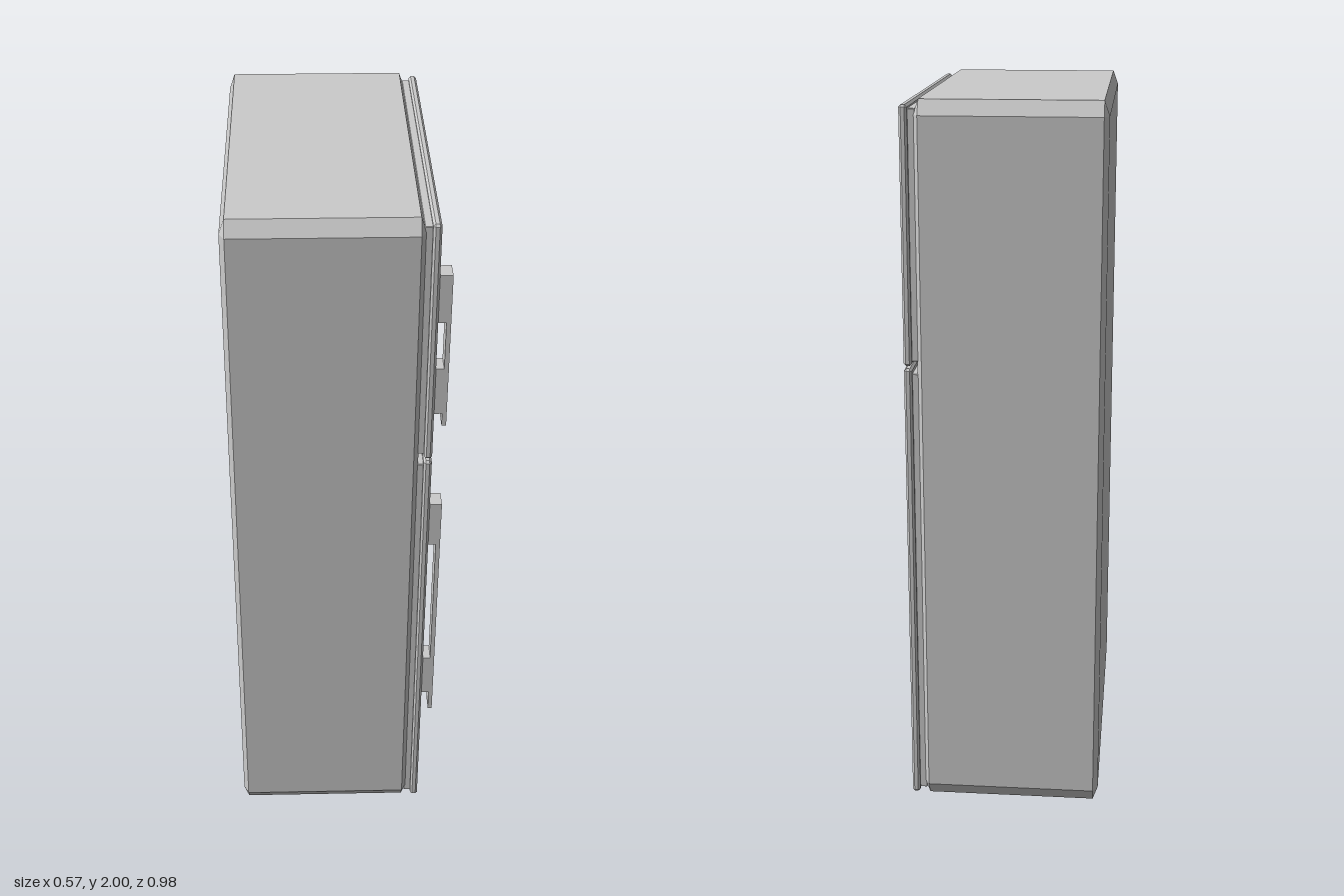
import * as THREE from 'three';
import { ConvexGeometry } from 'three/addons/geometries/ConvexGeometry.js';

const material = new THREE.MeshStandardMaterial({ color: 0xcccccc, flatShading: true });

// Box between two corners, with its edges cut back by a separate amount on each axis
function chamferedBox(name, min, max, cut) {
  const points = [];
  for (let corner = 0; corner < 8; corner++) {
    for (let face = 0; face < 3; face++) {
      const p = [0, 1, 2].map((axis) => {
        const inset = axis === face ? 0 : cut[axis];
        return corner & (1 << axis) ? max[axis] - inset : min[axis] + inset;
      });
      points.push(new THREE.Vector3(...p));
    }
  }
  const mesh = new THREE.Mesh(new ConvexGeometry(points), material);
  mesh.name = name;
  return mesh;
}

// Flat grip bar on two mounting pads, drawn from the side and extruded across z
function handle(name, bottom, top, padHeights) {
  const inner = 0.25, grip = 0.273, outer = 0.285;
  const [lowBottom, lowTop, highBottom] = padHeights;
  const shape = new THREE.Shape([
    [grip, bottom], [outer, bottom], [outer, top], [inner, top],
    [inner, highBottom], [grip, highBottom], [grip, lowTop],
    [inner, lowTop], [inner, lowBottom], [grip, lowBottom],
  ].map(([x, y]) => new THREE.Vector2(x, y)));
  const geometry = new THREE.ExtrudeGeometry(shape, { depth: 0.053, bevelEnabled: false });
  const mesh = new THREE.Mesh(geometry, material);
  mesh.name = name;
  mesh.position.z = 0.419;
  return mesh;
}

// Door panel with a slightly smaller gasket between it and the cabinet
function door(name, bottom, top, gasketBottom, gasketTop) {
  const group = new THREE.Group();
  group.name = name;
  group.add(
    chamferedBox('gasket', [0.21, gasketBottom, -0.467], [0.236, gasketTop, 0.467], [0.002, 0.002, 0.002]),
    chamferedBox('doorPanel', [0.23, bottom, -0.479], [0.252, top, 0.479], [0.006, 0.006, 0.006]),
  );
  return group;
}

export function createModel() {
  const model = new THREE.Group();
  model.name = 'refrigerator';

  // Cabinet
  model.add(chamferedBox('cabinet', [-0.288, 0, -0.49], [0.216, 2, 0.49], [0.014, 0.04, 0.026]));

  // Freezer door above, fridge door below
  const freezer = door('freezerDoor', 1.296, 1.986, 1.306, 1.976);
  freezer.add(handle('freezerHandle', 1.4, 1.845, [1.437, 1.575, 1.71]));
  const fridge = door('fridgeDoor', 0.006, 1.288, 0.016, 1.272);
  fridge.add(handle('fridgeHandle', 0.375, 1.14, [0.44, 0.578, 1.002]));
  model.add(freezer, fridge);

  return model;
}
